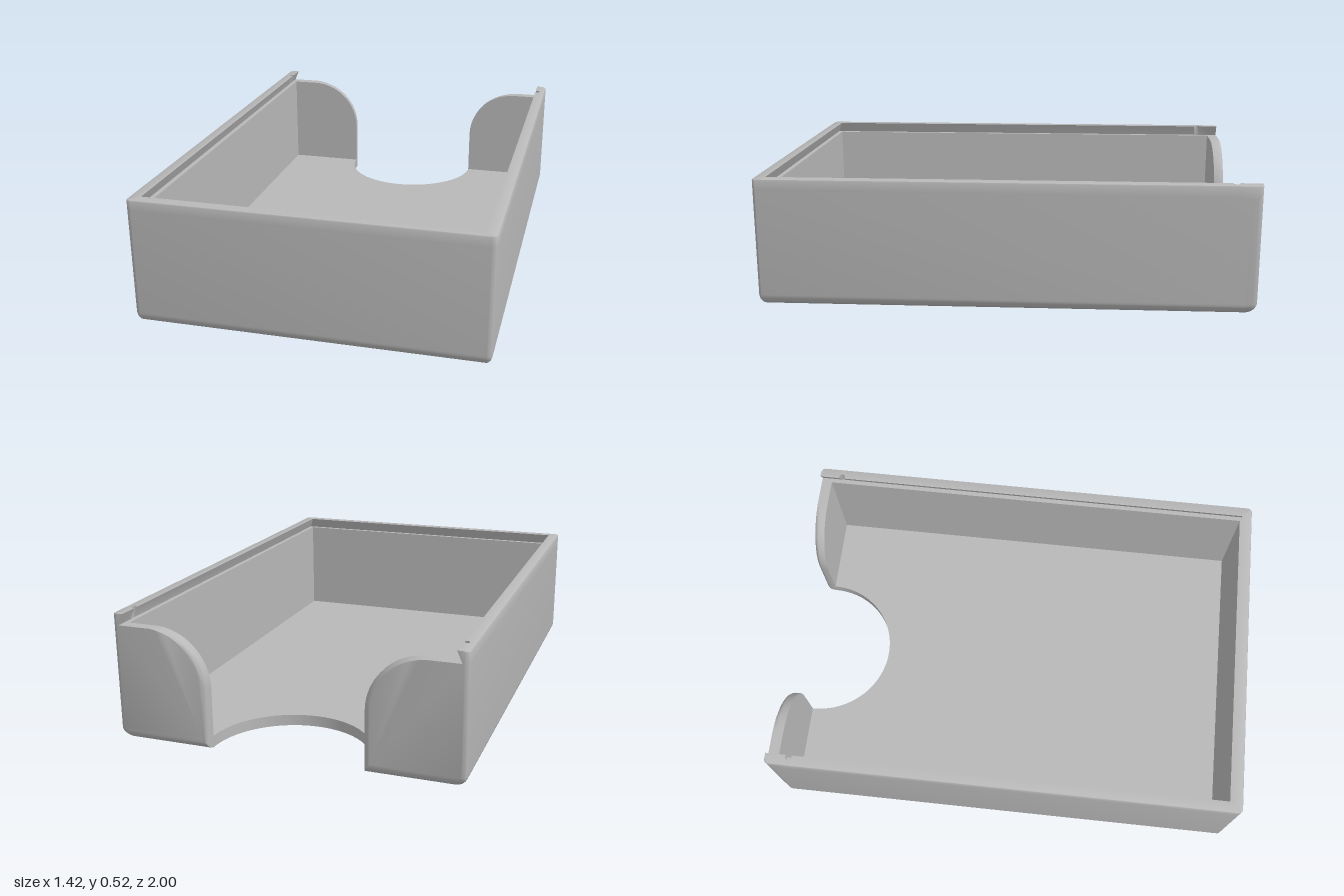
import * as THREE from 'three';
import { toCreasedNormals } from 'three/addons/utils/BufferGeometryUtils.js';

const HX = 0.708, HZ = 1;          // half width, half length
const T = 0.046;                   // wall, floor and bottom fillet size
const LEDGE = 0.478, TOP = 0.525;  // lid ledge and rim heights
const C = 0.02;                    // vertical corner radius
const CUT = 0.318, SCOOP = 0.23;   // thumb cutout radius, scoop corner radius
const Q = Math.PI / 2;

// how far a fillet of radius r steps back at distance s from its face
const fillet = (s, r) => (s >= r ? 0 : r - Math.sqrt(r * r - (r - s) ** 2));
const steps = (n, f) => Array.from({ length: n + 1 }, (_, i) => f(i / n));

// closed, capped solid through convex rings of [x, y, z]
function loft(rings) {
  const n = rings[0].length, pos = rings.flat(2), idx = [];
  for (let i = 0; i < rings.length - 1; i++) {
    for (let j = 0; j < n; j++) {
      const a = i * n + j, b = i * n + (j + 1) % n;
      idx.push(a, b, a + n, b, b + n, a + n);
    }
  }
  const last = (rings.length - 1) * n;
  for (let j = 1; j < n - 1; j++) idx.push(0, j + 1, j, last, last + j, last + j + 1);
  // turn faces outward if the rings ran the other way
  const v = (k) => new THREE.Vector3().fromArray(pos, idx[k] * 3);
  let volume = 0;
  for (let k = 0; k < idx.length; k += 3) volume += v(k).dot(v(k + 1).cross(v(k + 2)));
  if (volume < 0) idx.reverse();
  const g = new THREE.BufferGeometry();
  g.setAttribute('position', new THREE.Float32BufferAttribute(pos, 3));
  g.setIndex(idx);
  return toCreasedNormals(g, 0.6);
}

// U-shaped path round the sides and front; each station maps an inset to x, z
function uPath(zs) {
  const side = (s) => (z) => ({ z, at: (d) => [s * (HX - d), z] });
  const corner = (s, a) => ({
    z: HZ,
    at: (d) => {
      const m = Math.max(d, C), r = Math.max(C - d, 0);
      return [s * (HX - m) + r * Math.cos(a), HZ - m + r * Math.sin(a)];
    },
  });
  return [
    ...zs.map(side(-1)),
    ...steps(6, (t) => corner(-1, Math.PI - Q * t)),
    ...steps(6, (t) => corner(1, Q - Q * t)),
    ...[...zs].reverse().map(side(1)),
  ];
}

function sweep(zs, profile) {
  return loft(uPath(zs).map((st) => profile(st.z).map(([d, y]) => {
    const [x, z] = st.at(d);
    return [x, y, z];
  })));
}

// side and front walls with a rounded bottom edge
function wallGeometry() {
  const profile = [
    ...steps(8, (t) => [T - T * Math.sin(Q * t), T - T * Math.cos(Q * t)]),
    [0, LEDGE], [T, LEDGE],
  ];
  return sweep([-HZ + T], () => profile);
}

// undercut rim that holds a sliding lid, with a small catch notch near each end
function rimGeometry() {
  const nr = 0.013, nz = -0.9;
  const zs = [
    ...steps(5, (t) => -HZ + C * (1 - Math.cos(Q * t))),
    nz - nr - 0.0005,
    ...steps(10, (t) => nz - nr * Math.cos(Math.PI * t)),
    nz + nr + 0.0005,
  ];
  return sweep(zs, (z) => {
    const o = fillet(z + HZ, C), s = Math.abs(z - nz);
    const limit = s <= nr ? T - 0.008 - Math.sqrt(nr * nr - s * s) : T;
    return [
      [o, LEDGE], [o, TOP - 0.006], [o + 0.002, TOP - 0.002], [o + 0.006, TOP],
      [Math.min(T, limit), TOP], [Math.min(T - 0.02, limit), LEDGE],
    ];
  });
}

// back wall piece on one side of the cutout, with a scooped upper corner
function backWallGeometry(side) {
  const e = 0.025, cx = CUT + SCOOP, cy = LEDGE - SCOOP;
  const depths = [...steps(8, (t) => T * (1 - Math.cos(Q * t)))];
  return loft(depths.map((d) => {
    const k = fillet(d, e), ck = fillet(d, C), bk = fillet(d, T);
    const outline = [
      [CUT + k, bk],
      ...steps(16, (t) => {
        const c = Math.cos(Q * t), r = SCOOP - k * c;
        return [cx - r * c, cy + r * Math.sin(Q * t)];
      }),
      [HX - ck, LEDGE],
      ...steps(8, (t) => [
        HX - T + (T - ck) * Math.cos(Q * t),
        T - (T - bk) * Math.sin(Q * t),
      ]),
    ];
    return outline.map(([x, y]) => [side * x, y, -HZ + d]);
  }));
}

// floor plate with a half-round thumb cutout at the back
function floorGeometry() {
  const a = HX - T, b = HZ - T;
  const s = new THREE.Shape();
  s.moveTo(-a, -b);
  s.lineTo(a, -b);
  s.lineTo(a, b);
  s.lineTo(CUT, b);
  s.absarc(0, b, CUT, 0, -Math.PI, true);
  s.lineTo(-a, b);
  s.closePath();
  const g = new THREE.ExtrudeGeometry(s, { depth: T, bevelEnabled: false, curveSegments: 40 });
  g.rotateX(-Q);
  return toCreasedNormals(g, 0.6);
}

export function createModel() {
  const grey = new THREE.MeshStandardMaterial({ color: 0xb8b8b8 });
  grey.name = 'grey plastic';
  const group = new THREE.Group();
  group.name = 'slidingLidBox';
  const add = (name, geometry) => {
    const mesh = new THREE.Mesh(geometry, grey);
    mesh.name = name;
    group.add(mesh);
  };
  add('floor', floorGeometry());
  add('sideAndFrontWalls', wallGeometry());
  add('lidRim', rimGeometry());
  add('leftBackWall', backWallGeometry(1));
  add('rightBackWall', backWallGeometry(-1));
  return group;
}
